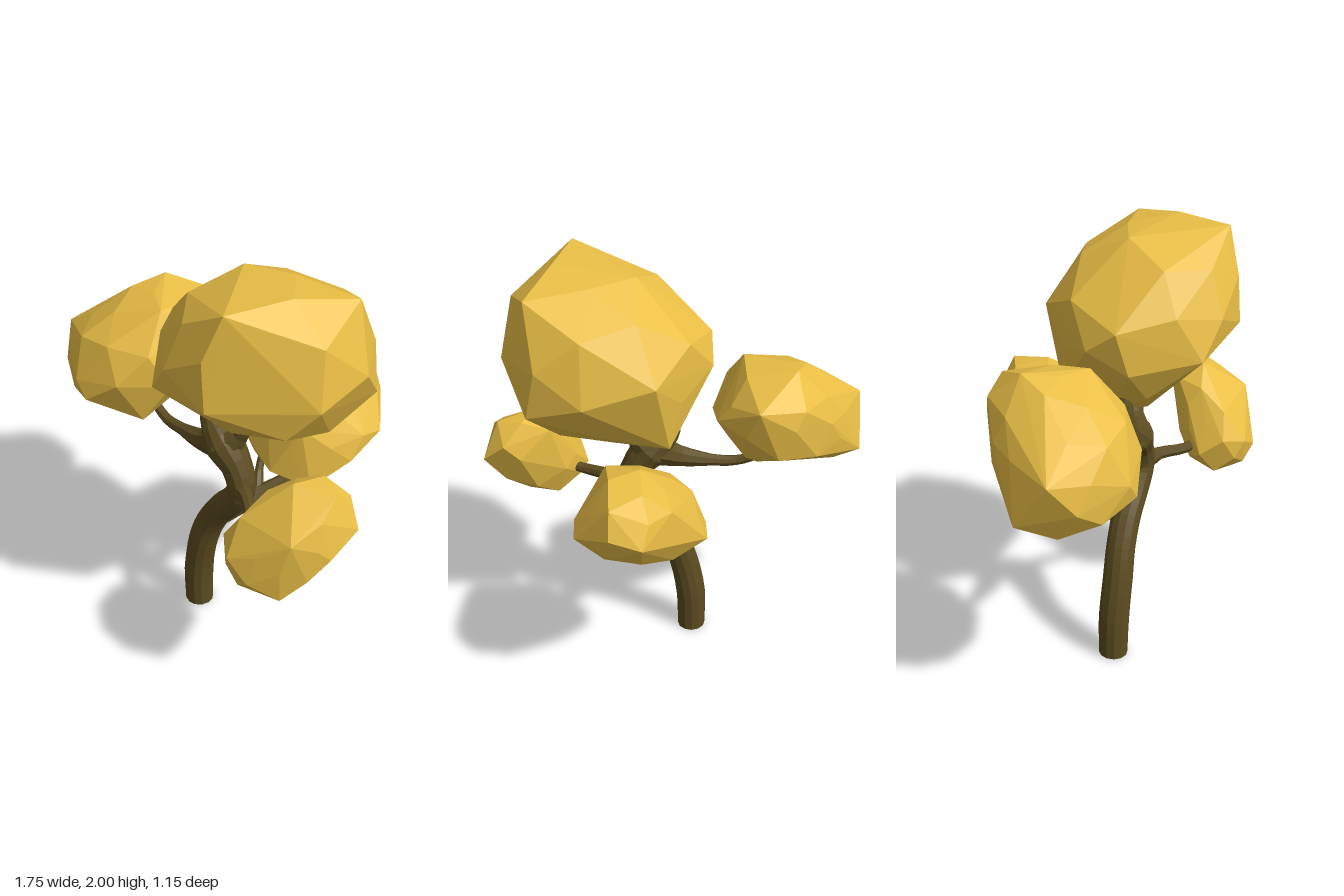
import * as THREE from 'three';
import { ConvexGeometry } from 'three/addons/geometries/ConvexGeometry.js';
import { mergeVertices } from 'three/addons/utils/BufferGeometryUtils.js';

const bark = new THREE.MeshStandardMaterial({ color: 0x5c4c20, flatShading: true });
const leaf = new THREE.MeshStandardMaterial({ color: 0xeabf46, flatShading: true });

// Tapered limb through points [x, y, z, radius]
function limb(name, pts, sides = 8, steps = 3) {
  const curve = new THREE.CatmullRomCurve3(pts.map(p => new THREE.Vector3(p[0], p[1], p[2])));
  const n = (pts.length - 1) * steps;
  // sample by parameter so that the radii stay matched to their points
  curve.getPointAt = u => curve.getPoint(u);
  curve.getTangentAt = u => curve.getTangent(u);
  const geo = new THREE.TubeGeometry(curve, n, 1, sides);
  const pos = geo.attributes.position, v = new THREE.Vector3();
  for (let i = 0; i <= n; i++) {
    const c = curve.getPoint(i / n);
    const k = Math.min(Math.floor(i / steps), pts.length - 2);
    const r = THREE.MathUtils.lerp(pts[k][3], pts[k + 1][3], i / steps - k);
    for (let j = 0; j <= sides; j++) {
      const id = i * (sides + 1) + j;
      v.fromBufferAttribute(pos, id).sub(c).multiplyScalar(r).add(c);
      pos.setXYZ(id, v.x, v.y, v.z);
    }
  }
  geo.computeVertexNormals();
  const mesh = new THREE.Mesh(geo, bark);
  mesh.name = name;
  return mesh;
}

// How far direction (a, b) from centre (ca, cb) reaches towards a convex outline (1 = on it)
function gauge(outline, ca, cb, a, b) {
  return Math.max(...outline.map((p, i) => {
    const q = outline[(i + 1) % outline.length];
    const na = q[1] - p[1], nb = p[0] - q[0];
    return (na * a + nb * b) / (na * (p[0] - ca) + nb * (p[1] - cb));
  }));
}

const range = values => [Math.min(...values), Math.max(...values)];

// Tilt of an outline: difference of its squared half widths along the two diagonals
function tilt(outline) {
  const [up, down] = [1, -1].map(s => {
    const [lo, hi] = range(outline.map(p => (p[0] + s * p[1]) / Math.SQRT2));
    return ((hi - lo) / 2) ** 2;
  });
  return 0.42 * (up - down);
}

// Faceted leaf mass: a tilted ellipsoid fitted to its outlines in xy, zy and xz
function crown(name, front, side, top, turn) {
  const box = [[front, 0], [front, 1], [top, 1]].map(([o, k]) => range(o.map(p => p[k])));
  const [cx, cy, cz] = box.map(r => (r[0] + r[1]) / 2);
  const [hx, hy, hz] = box.map(r => (r[1] - r[0]) / 2);
  // shear the ellipsoid so that it leans as the outlines do
  const yx = tilt(front) / hx, zx = tilt(top) / hx;
  const yy = Math.sqrt(Math.max(hy * hy - yx * yx, 0.01));
  const zy = (tilt(side) - yx * zx) / yy;
  const zz = Math.sqrt(Math.max(hz * hz - zx * zx - zy * zy, 0.01));
  const lean = new THREE.Matrix4().set(hx, 0, 0, cx, yx, yy, 0, cy, zx, zy, zz, cz, 0, 0, 0, 1);
  const ball = new THREE.IcosahedronGeometry(1.06, 1).rotateY(turn).rotateX(turn * 0.6);
  ball.deleteAttribute('uv').deleteAttribute('normal');
  const pos = mergeVertices(ball, 1e-3).applyMatrix4(lean).attributes.position;
  const centre = new THREE.Vector3(cx, cy, cz);
  const points = Array.from({ length: pos.count }, (_, i) => new THREE.Vector3().fromBufferAttribute(pos, i));
  // trim what sticks out
  for (const p of points) {
    const { x, y, z } = p.clone().sub(centre);
    const g = Math.max(1, gauge(front, cx, cy, x, y), gauge(side, cz, cy, z, y), gauge(top, cx, cz, x, z));
    p.sub(centre).divideScalar(g).add(centre);
  }
  // pull the nearest corner of the rim onto each outline point
  for (const [outline, a, b] of [[side, 'z', 'y'], [top, 'x', 'z'], [front, 'x', 'y']]) {
    for (const [u, v] of outline) {
      const gap = p => Math.hypot(p[a] - u, p[b] - v);
      const nearest = points.reduce((m, p) => (gap(p) < gap(m) ? p : m));
      nearest[a] = u;
      nearest[b] = v;
    }
  }
  const mesh = new THREE.Mesh(new ConvexGeometry(points), leaf);
  mesh.name = name;
  return mesh;
}

export function createModel() {
  const tree = new THREE.Group();
  tree.name = 'tree';

  // Trunk, bending sideways and then back at the upper fork
  tree.add(limb('trunk', [
    [-0.098, 0, 0.21, 0.068], [-0.095, 0.2, 0.21, 0.072], [-0.06, 0.4, 0.21, 0.07], [-0.015, 0.54, 0.2, 0.068],
    [0.06, 0.67, 0.19, 0.068], [0.14, 0.77, 0.19, 0.065], [0.2, 0.88, 0.19, 0.065],
    [0.17, 0.98, 0.19, 0.07], [0.1, 1.07, 0.2, 0.09], [0.02, 1.15, 0.2, 0.055],
    [0.0, 1.23, 0.2, 0.04], [0.02, 1.34, 0.19, 0.03]], 12));
  const base = new THREE.Mesh(new THREE.CircleGeometry(0.068, 12).rotateX(Math.PI / 2), bark);
  base.position.set(-0.098, 0, 0.21);
  base.name = 'trunkBase';
  tree.add(base);

  // Branches
  tree.add(limb('upperBranch', [[0.1, 1.07, 0.2, 0.09], [0.17, 1.15, 0.17, 0.04], [0.23, 1.28, 0.15, 0.025]]));
  tree.add(limb('rightBranch', [[0.08, 1.07, 0.2, 0.08], [-0.04, 1.02, 0.21, 0.05], [-0.19, 0.995, 0.21, 0.028],
    [-0.3, 0.99, 0.21, 0.024], [-0.4, 1.03, 0.2, 0.022], [-0.46, 1.12, 0.19, 0.02]]));
  tree.add(limb('leftBranch', [[0.18, 0.88, 0.19, 0.055], [0.29, 0.9, 0.24, 0.03],
    [0.42, 0.89, 0.32, 0.025], [0.54, 0.91, 0.36, 0.02]]));
  tree.add(limb('backBranch', [[0.06, 0.67, 0.18, 0.075], [0.1, 0.68, 0.08, 0.048], [0.13, 0.71, 0, 0.035],
    [0.19, 0.77, -0.14, 0.03], [0.24, 0.86, -0.25, 0.025]]));
  tree.add(limb('backTwig', [[0.12, 0.7, 0.02, 0.03], [0.06, 0.77, -0.04, 0.02], [0.03, 0.88, -0.1, 0.015]]));

  // Leaf masses: front (x, y), side (z, y), top (x, z)
  tree.add(crown('topCrown',
    [[-0.18, 1.66], [0.15, 1.97], [0.43, 2], [0.62, 1.95], [0.69, 1.86], [0.73, 1.61], [0.6, 1.36], [0.39, 1.25], [0.17, 1.19], [0.02, 1.27], [-0.15, 1.47]],
    [[0.57, 1.67], [0.55, 1.8], [0.42, 1.97], [0.2, 2], [-0.05, 1.95], [-0.2, 1.83], [-0.27, 1.63], [-0.12, 1.28], [0.1, 1.19], [0.23, 1.23], [0.56, 1.58]],
    [[-0.18, 0.1], [0.08, -0.24], [0.39, -0.27], [0.63, -0.17], [0.73, 0], [0.71, 0.25], [0.45, 0.48], [0.17, 0.57], [0.05, 0.54], [-0.13, 0.24]], 0.3));
  tree.add(crown('rightCrown',
    [[-0.88, 1.18], [-0.72, 1.39], [-0.6, 1.54], [-0.54, 1.58], [-0.32, 1.54], [-0.19, 1.35], [-0.19, 1.25], [-0.3, 1.05], [-0.39, 1.02], [-0.78, 1.02], [-0.87, 1.08]],
    [[0.51, 1.21], [0.42, 1.41], [0.2, 1.56], [0, 1.58], [-0.15, 1.48], [-0.2, 1.38], [-0.17, 1.23], [0.15, 1.04], [0.3, 1.02], [0.45, 1.08]],
    [[-0.88, 0.15], [-0.7, -0.04], [-0.52, -0.18], [-0.36, -0.2], [-0.19, -0.02], [-0.19, 0.26], [-0.34, 0.45], [-0.5, 0.51], [-0.8, 0.4], [-0.88, 0.31]], 1.1));
  tree.add(crown('leftCrown',
    [[0.4, 0.88], [0.53, 1.16], [0.64, 1.24], [0.8, 1.22], [0.87, 1.06], [0.83, 0.89], [0.76, 0.79], [0.61, 0.77], [0.46, 0.78]],
    [[0.57, 0.93], [0.45, 1.1], [0.3, 1.23], [0.17, 1.24], [0.11, 1.07], [0.2, 0.87], [0.29, 0.78], [0.4, 0.77], [0.55, 0.8]],
    [[0.7, 0.12], [0.77, 0.1], [0.84, 0.15], [0.87, 0.3], [0.8, 0.46], [0.66, 0.57], [0.54, 0.57], [0.44, 0.5], [0.4, 0.4], [0.5, 0.25]], 1.9));
  tree.add(crown('backCrown',
    [[-0.14, 0.9], [-0.08, 1.05], [0.05, 1.2], [0.15, 1.27], [0.3, 1.23], [0.44, 1.05], [0.36, 0.83], [0.22, 0.8], [-0.08, 0.81]],
    [[0.02, 0.97], [-0.06, 1.14], [-0.18, 1.24], [-0.35, 1.27], [-0.54, 1.24], [-0.58, 1.06], [-0.47, 0.91], [-0.32, 0.82], [-0.14, 0.8], [0, 0.88]],
    [[-0.14, -0.28], [0.12, -0.52], [0.29, -0.58], [0.44, -0.43], [0.44, -0.25], [0.35, -0.08], [0.2, 0.02], [0.02, 0], [-0.14, -0.17]], 2.6));
  return tree;
}
